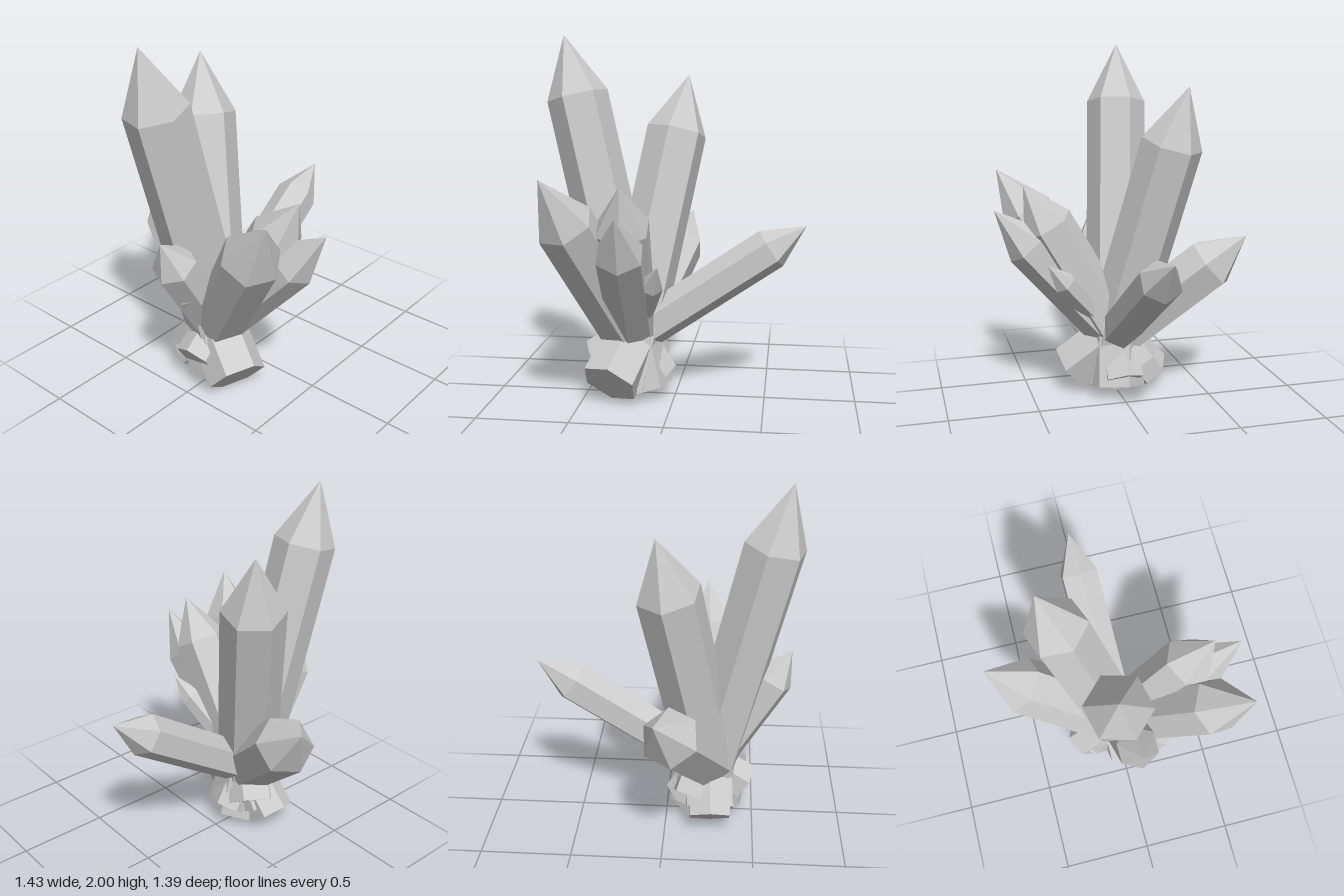
import * as THREE from 'three';

const CORE = new THREE.Vector3(-0.245, 0.325, 0); // point where all crystal axes cross

// Six-sided prism along core -> tip: flat cut root, pointed end.
// edge = direction that one prism edge is turned towards.
function crystal(name, material, { tip, radius, point, root = 0.29, edge = [0, 1, 0] }) {
  const axis = new THREE.Vector3(...tip).sub(CORE);
  const length = axis.length();
  axis.normalize();
  const profile = [
    [0, -root], [radius, -root], [radius, length - point], [0, length],
  ].map(([x, y]) => new THREE.Vector2(x, y));
  const mesh = new THREE.Mesh(new THREE.LatheGeometry(profile, 6), material);

  const z = new THREE.Vector3(...edge);
  z.addScaledVector(axis, -z.dot(axis)).normalize();
  const x = new THREE.Vector3().crossVectors(axis, z);
  mesh.quaternion.setFromRotationMatrix(new THREE.Matrix4().makeBasis(x, axis, z));
  mesh.position.copy(CORE);
  mesh.name = name;
  return mesh;
}

export function createModel() {
  const group = new THREE.Group();
  group.name = 'crystalCluster';
  const stone = new THREE.MeshStandardMaterial({ color: 0xcccccc });
  stone.name = 'paleGreyCrystal';
  stone.flatShading = true;

  const crystals = {
    // tall pair
    tallCrystal: { tip: [-0.635, 2, -0.11], radius: 0.17, point: 0.34, edge: [0.7, 0, 0.7] },
    secondTallCrystal: { tip: [0.035, 1.78, -0.345], radius: 0.174, point: 0.33, root: 0.27, edge: [0.77, 0, 0.64] },
    // side and back
    leftCrystal: { tip: [0.715, 0.97, -0.05], radius: 0.118, point: 0.23, root: 0.235 },
    backCrystal: { tip: [0.025, 0.94, -0.7], radius: 0.162, point: 0.26, root: 0.32, edge: [0.25, 1, 0] },
    rightCrystal: { tip: [-0.685, 1.03, 0.03], radius: 0.122, point: 0.19, root: 0.27 },
    // front fan
    frontRightCrystal: { tip: [-0.595, 1.285, 0.63], radius: 0.157, point: 0.31, root: 0.22, edge: [0.45, 1, 0] },
    frontCrystal: { tip: [-0.208, 1.11, 0.695], radius: 0.13, point: 0.28, root: 0.32 },
    frontUpperCrystal: { tip: [-0.215, 1.24, 0.53], radius: 0.15, point: 0.26, root: 0.25 },
    // small shards
    smallFrontCrystal: { tip: [-0.04, 0.82, 0.43], radius: 0.067, point: 0.16 },
    smallRightCrystal: { tip: [-0.6, 0.775, 0.05], radius: 0.065, point: 0.14, root: 0.24 },
  };
  for (const [name, spec] of Object.entries(crystals)) group.add(crystal(name, stone, spec));
  return group;
}
